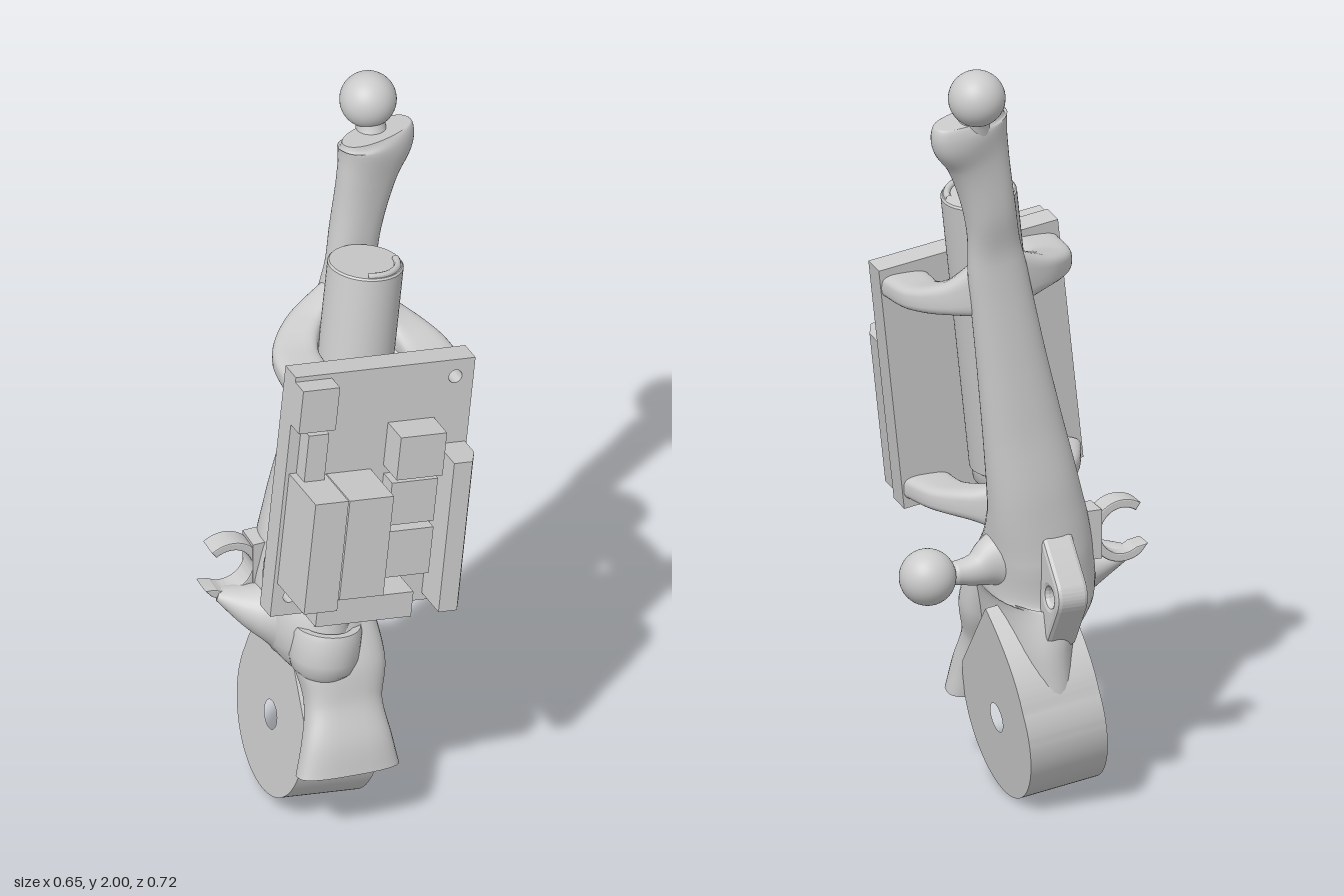
import * as THREE from 'three';
import { toCreasedNormals } from 'three/addons/utils/BufferGeometryUtils.js';

const material = new THREE.MeshStandardMaterial({ color: 0xcccccc });
const TILT = THREE.MathUtils.degToRad(8), LEAN = THREE.MathUtils.degToRad(5);

function add(parent, name, geometry, x = 0, y = 0, z = 0) {
  const mesh = new THREE.Mesh(geometry, material);
  mesh.name = name;
  mesh.position.set(x, y, z);
  parent.add(mesh);
  return mesh;
}

// Smooth sweep through stations [x, y, z, halfWidth, halfThickness, twist]
function sweep(stations, hint, e = 1, steps = 40, sides = 32) {
  const path = new THREE.CatmullRomCurve3(stations.map(s => new THREE.Vector3(s[0], s[1], s[2])));
  const size = new THREE.CatmullRomCurve3(stations.map(s => new THREE.Vector3(s[3], s[4], s[5] || 0)));
  const pos = [], idx = [];
  const pw = v => Math.sign(v) * Math.abs(v) ** e;
  const ring = t => {
    const c = path.getPoint(t), r = size.getPoint(t), T = path.getTangent(t);
    const u = T.clone().cross(hint).normalize().applyAxisAngle(T, r.z), v = u.clone().cross(T);
    const start = pos.length / 3;
    for (let j = 0; j < sides; j++) {
      const a = j / sides * Math.PI * 2;
      const p = c.clone().addScaledVector(u, r.x * pw(Math.cos(a))).addScaledVector(v, r.y * pw(Math.sin(a)));
      pos.push(p.x, p.y, p.z);
    }
    return [start, c];
  };
  for (let i = 0; i <= steps; i++) ring(i / steps);
  for (let i = 0; i < steps; i++) for (let j = 0; j < sides; j++) {
    const k = (j + 1) % sides, a = i * sides + j, b = a + sides, c = i * sides + k, d = c + sides;
    idx.push(a, b, c, b, d, c);
  }
  for (const end of [0, 1]) {
    const [s, c] = ring(end), m = pos.length / 3;
    pos.push(c.x, c.y, c.z);
    for (let j = 0; j < sides; j++) {
      const k = (j + 1) % sides;
      if (end) idx.push(m, s + k, s + j); else idx.push(m, s + j, s + k);
    }
  }
  const g = new THREE.BufferGeometry();
  g.setAttribute('position', new THREE.Float32BufferAttribute(pos, 3));
  g.setIndex(idx);
  g.computeVertexNormals();
  return g;
}

function hole(shape, x, y, r) {
  shape.holes.push(new THREE.Path().absarc(x, y, r, 0, Math.PI * 2, true));
}

// Extruded outline, centred in depth
function plate(shape, depth, bevel = 0) {
  const g = new THREE.ExtrudeGeometry(shape, {
    depth: depth - 2 * bevel, curveSegments: 32, bevelEnabled: bevel > 0,
    bevelSize: bevel, bevelThickness: bevel, bevelOffset: -bevel, bevelSegments: 2
  });
  g.translate(0, 0, -(depth - 2 * bevel) / 2);
  return toCreasedNormals(g, 0.35);
}

export function createModel() {
  const model = new THREE.Group();
  const Y = new THREE.Vector3(0, 1, 0), Z = new THREE.Vector3(0, 0, 1);

  // Long curved spine, twisted at the fan-shaped top, widening into the lower body
  add(model, 'spine', sweep([
    [0.168, 1.862, -0.215, 0.105, 0.045, -0.35], [0.167, 1.835, -0.213, 0.118, 0.058, -0.35],
    [0.14, 1.75, -0.203, 0.09, 0.054, -0.3], [0.105, 1.6, -0.197, 0.068, 0.053, -0.15],
    [0.082, 1.45, -0.185, 0.076, 0.046], [0.042, 1.2, -0.182, 0.09, 0.056],
    [0.008, 1.0, -0.18, 0.105, 0.066], [-0.028, 0.8, -0.17, 0.122, 0.088],
    [-0.05, 0.68, -0.135, 0.135, 0.13], [-0.06, 0.55, -0.088, 0.142, 0.178],
    [-0.038, 0.43, -0.095, 0.09, 0.198], [-0.045, 0.31, -0.1, 0.08, 0.2]
  ], Z, 0.9, 70, 40));

  // Skirt reaching forward over the hub
  add(model, 'frontSkirt', sweep([
    [-0.045, 0.56, 0.0, 0.115, 0.07], [-0.035, 0.46, 0.045, 0.114, 0.068],
    [-0.042, 0.37, 0.08, 0.1, 0.055], [-0.05, 0.28, 0.122, 0.118, 0.052], [-0.055, 0.205, 0.14, 0.135, 0.05]
  ], Z, 0.7));

  // Ball joints at the top and the side
  const ball = new THREE.SphereGeometry(0.072, 40, 28);
  add(model, 'topBall', ball, 0.168, 1.928, -0.265);
  add(model, 'topBallNeck', sweep([[0.16, 1.8, -0.22, 0.06, 0.045], [0.165, 1.86, -0.24, 0.038, 0.038], [0.168, 1.92, -0.262, 0.035, 0.035]], Z));
  add(model, 'sideBall', ball, 0.253, 0.625, -0.15);
  add(model, 'sideBallStem', sweep([
    [0.0, 0.65, -0.14, 0.11, 0.09], [0.075, 0.64, -0.145, 0.07, 0.055],
    [0.125, 0.627, -0.15, 0.042, 0.038], [0.18, 0.625, -0.15, 0.03, 0.03], [0.24, 0.625, -0.15, 0.03, 0.03]
  ], Z));

  // Four arms that hold the board
  const arms = {
    upperLeftArm: [[0.215, 1.32, 0.085], [0.21, 1.325, -0.02], [0.172, 1.345, -0.105], [0.085, 1.385, -0.175]],
    upperRightArm: [[-0.135, 1.37, 0.085], [-0.125, 1.375, -0.03], [-0.06, 1.39, -0.12], [0.06, 1.4, -0.18]],
    lowerLeftArm: [[0.135, 0.755, 0.14], [0.12, 0.758, 0.04], [0.075, 0.765, -0.05], [-0.01, 0.765, -0.13]],
    lowerRightArm: [[-0.215, 0.8, 0.14], [-0.175, 0.8, 0.04], [-0.11, 0.785, -0.055], [-0.03, 0.76, -0.13]]
  };
  const armSize = [[0.065, 0.032], [0.059, 0.032], [0.048, 0.042], [0.036, 0.085]];
  for (const [name, pts] of Object.entries(arms))
    add(model, name, sweep(pts.map((p, i) => [...p, ...armSize[i]]), Y, 0.6, 30));

  // Flat hub with a pointed top and an axle hole
  const hub = new THREE.Shape();
  hub.moveTo(-0.03, 0.31);
  hub.lineTo(0.19, 0.09);
  hub.absarc(0, 0, 0.21, 0.44, 2.75, true);
  hub.quadraticCurveTo(-0.17, 0.2, -0.03, 0.31);
  hole(hub, 0, 0, 0.038);
  add(model, 'hub', plate(hub, 0.21).rotateY(-Math.PI / 2), -0.055, 0.222, -0.11).rotation.z = -TILT;

  // Eyelet tab on the back
  const tab = new THREE.Shape();
  tab.moveTo(-0.18, 0.76);
  tab.lineTo(-0.255, 0.725);
  tab.lineTo(-0.345, 0.63);
  tab.quadraticCurveTo(-0.375, 0.59, -0.345, 0.55);
  tab.lineTo(-0.275, 0.44);
  tab.lineTo(-0.18, 0.44);
  hole(tab, -0.297, 0.582, 0.026);
  add(model, 'backEyelet', plate(tab, 0.085, 0.012).rotateY(-Math.PI / 2), -0.055);

  // Open clip on a flared shoulder
  const clip = new THREE.Shape();
  clip.absarc(-0.26, 0.688, 0.083, 2.2, -2.2, true);
  clip.lineTo(-0.328, 0.645);
  clip.absarc(-0.26, 0.688, 0.06, -2.2, 2.2, false);
  add(model, 'sideClip', plate(clip, 0.06, 0.004), 0, 0, -0.16);
  add(model, 'clipShoulder', sweep([
    [-0.05, 0.53, -0.08, 0.13, 0.13], [-0.135, 0.57, -0.085, 0.11, 0.105],
    [-0.2, 0.585, -0.105, 0.065, 0.075], [-0.285, 0.615, -0.15, 0.016, 0.03]
  ], Z));
  add(model, 'clipRoot', new THREE.BoxGeometry(0.1, 0.13, 0.07), -0.15, 0.69, -0.16);

  // Tilted assembly: motor and circuit board
  const unit = new THREE.Group();
  unit.name = 'tiltedUnit';
  unit.position.set(0, 1.07, 0.14);
  unit.rotation.set(-LEAN, 0, -TILT, 'ZYX');
  model.add(unit);

  const lathe = pts => toCreasedNormals(new THREE.LatheGeometry(pts.map(p => new THREE.Vector2(...p)), 48), 0.6);
  const motor = new THREE.Group();
  motor.name = 'motor';
  motor.position.z = -0.145;
  unit.add(motor);
  add(motor, 'motorCan', lathe([
    [0, -0.27], [0.08, -0.27], [0.09, -0.255], [0.09, -0.225], [0.096, -0.22],
    [0.096, 0.54], [0.092, 0.545], [0, 0.545]
  ]));
  add(motor, 'motorShaft', new THREE.CylinderGeometry(0.06, 0.056, 0.3, 40), 0, -0.4, 0);
  add(motor, 'shaftCup', lathe([
    [0, -0.64], [0.05, -0.625], [0.08, -0.595], [0.09, -0.56], [0.09, -0.49],
    [0.085, -0.475], [0.066, -0.475], [0.062, -0.5], [0, -0.5]
  ]));
  const ridge = new THREE.TorusGeometry(0.08, 0.009, 8, 32, 1.9).rotateX(Math.PI / 2);
  add(motor, 'curvedRidge', ridge, 0, 0.546, 0);

  // Board with two fixing holes
  const board = new THREE.Shape();
  board.moveTo(-0.245, -0.338);
  board.lineTo(0.245, -0.338);
  board.lineTo(0.245, 0.338);
  board.lineTo(-0.245, 0.338);
  hole(board, 0.195, 0.29, 0.018);
  hole(board, -0.197, -0.285, 0.018);
  add(unit, 'board', plate(board, 0.066));

  // Components on the board: x, y, width, height, depth
  const components = {
    topConnector: [-0.195, 0.265, 0.1, 0.12, 0.052],
    stripConnector: [-0.188, 0.13, 0.055, 0.13, 0.05],
    tallBlock: [-0.19, -0.09, 0.09, 0.31, 0.17],
    wideBlock: [-0.072, -0.087, 0.12, 0.28, 0.15],
    upperChip: [0.085, 0.12, 0.125, 0.12, 0.085],
    middleChip: [0.088, -0.024, 0.125, 0.12, 0.055],
    lowerChip: [0.09, -0.167, 0.125, 0.13, 0.055],
    bottomHeader: [-0.038, -0.287, 0.26, 0.07, 0.105]
  };
  for (const [name, [x, y, w, h, d]] of Object.entries(components))
    add(unit, name, new THREE.BoxGeometry(w, h, d), x, y, 0.033 + d / 2);

  // Long side terminal with a chamfered outer edge
  const terminal = new THREE.Shape();
  terminal.moveTo(-0.038, 0);
  terminal.lineTo(0.036, 0);
  terminal.lineTo(0.036, 0.06);
  terminal.lineTo(0.012, 0.107);
  terminal.lineTo(-0.038, 0.107);
  add(unit, 'sideTerminal', plate(terminal, 0.42).rotateX(Math.PI / 2), 0.204, -0.108, 0.033);

  return model;
}
